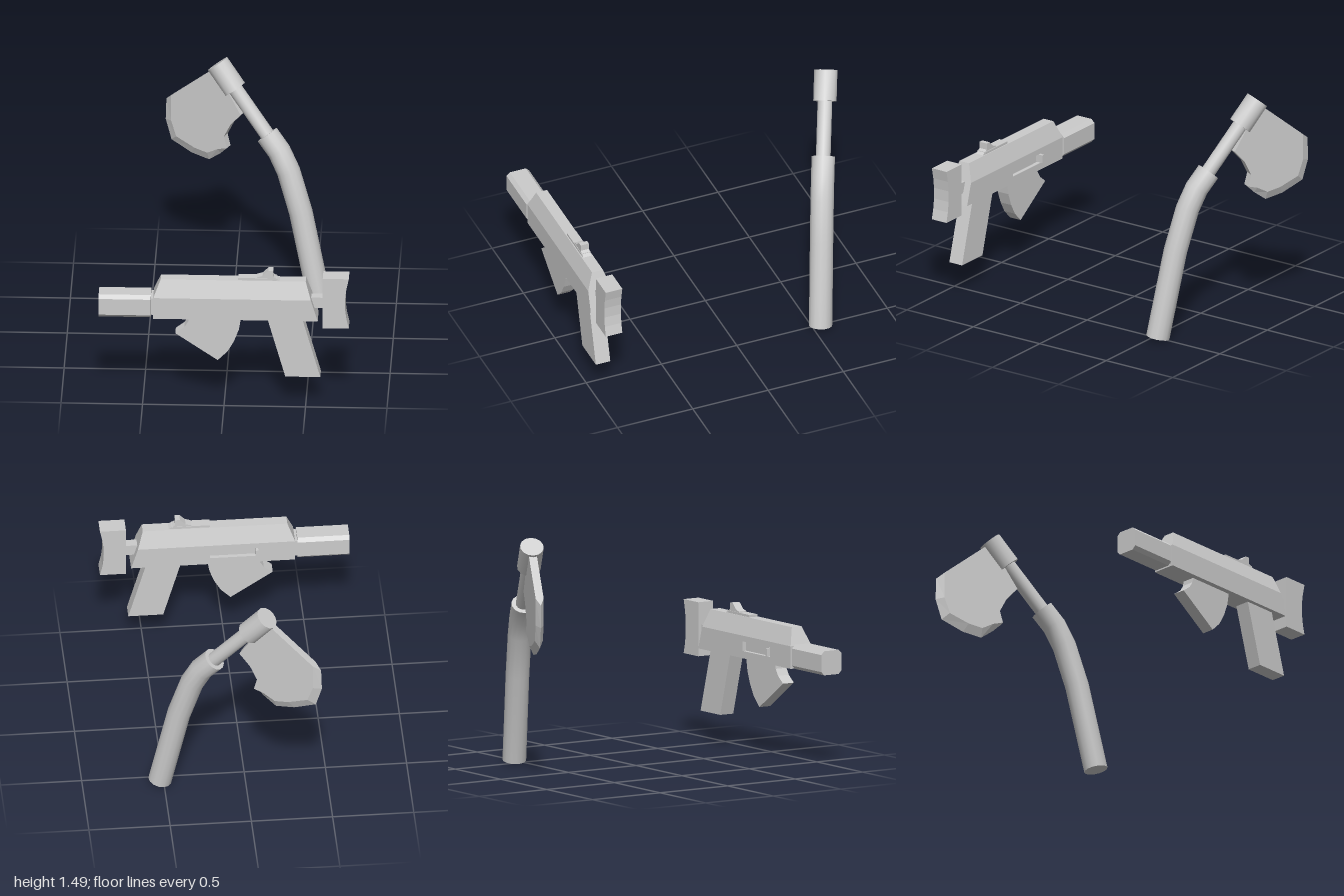
import * as THREE from 'three';
import { toCreasedNormals } from 'three/addons/utils/BufferGeometryUtils.js';

const flat = new THREE.MeshStandardMaterial({ color: 0xcccccc, flatShading: true });
const smooth = new THREE.MeshStandardMaterial({ color: 0xcccccc });
const inside = new THREE.MeshStandardMaterial({ color: 0xcccccc, flatShading: true, side: THREE.BackSide });

function add(parent, name, geometry, material = flat) {
  const mesh = new THREE.Mesh(geometry, material);
  mesh.name = name;
  parent.add(mesh);
  return mesh;
}

function box(parent, name, x0, x1, y0, y1, z0, z1, material) {
  const g = new THREE.BoxGeometry(x1 - x0, y1 - y0, z1 - z0);
  g.translate((x0 + x1) / 2, (y0 + y1) / 2, (z0 + z1) / 2);
  return add(parent, name, g, material);
}

const shapeOf = (pts) => new THREE.Shape(pts.map(([x, y]) => new THREE.Vector2(x, y)));

// Side profile extruded evenly about z = 0
function plate(parent, name, pts, halfWidth) {
  const g = new THREE.ExtrudeGeometry(shapeOf(pts), { depth: halfWidth * 2, bevelEnabled: false });
  g.translate(0, 0, -halfWidth);
  return add(parent, name, g);
}

// Joins rings (counter-clockwise seen from the last one) and caps both ends
function loft(rings, caps, skip = () => false) {
  const out = [];
  const tri = (a, b, c) => out.push(...a, ...b, ...c);
  for (let k = 0; k < rings.length - 1; k++) {
    const a = rings[k], b = rings[k + 1];
    for (let i = 0; i < a.length; i++) {
      if (skip(k, i)) continue;
      const j = (i + 1) % a.length;
      tri(a[i], a[j], b[j]);
      tri(a[i], b[j], b[i]);
    }
  }
  const first = rings[0], last = rings[rings.length - 1];
  for (const [i, j, k] of caps) {
    tri(first[i], first[k], first[j]);
    tri(last[i], last[j], last[k]);
  }
  const g = new THREE.BufferGeometry();
  g.setAttribute('position', new THREE.Float32BufferAttribute(out, 3));
  g.computeVertexNormals();
  return g;
}

const fan = (n) => Array.from({ length: n - 2 }, (_, i) => [0, i + 1, i + 2]);

// Round bar following a path in the xy plane, with mitred bends
function bar(parent, name, path, radius, sides = 14) {
  const p = path.map(([x, y]) => new THREE.Vector2(x, y));
  const rings = p.map((c, k) => {
    const t = new THREE.Vector2();
    if (k > 0) t.add(c.clone().sub(p[k - 1]).normalize());
    if (k < p.length - 1) t.add(p[k + 1].clone().sub(c).normalize());
    t.normalize();
    return Array.from({ length: sides }, (_, i) => {
      const a = (i / sides) * Math.PI * 2;
      const n = radius * Math.cos(a);
      return [c.x - t.y * n, c.y + t.x * n, radius * Math.sin(a)];
    });
  });
  return add(parent, name, toCreasedNormals(loft(rings, fan(sides)), 0.6), smooth);
}

function createGun() {
  const gun = new THREE.Group();
  gun.name = 'gun';

  // Receiver: upright sides, sloped shoulders, slanted ends
  const level = (x0, x1, y, w) => [[x0, y, w], [x1, y, w], [x1, y, -w], [x0, y, -w]];
  const rings = [
    level(-0.435, 0.575, 0.59, 0.075),
    level(-0.435, 0.533, 0.73, 0.075),
    level(-0.39, 0.5, 0.84, 0.036),
  ];
  add(gun, 'receiver', loft(rings, fan(4), (k, i) => k === 0 && i === 2));

  // Far side of the receiver with the bolt slot cut out
  const side = shapeOf([[0.435, 0.59], [0.435, 0.73], [-0.533, 0.73], [-0.575, 0.59]]);
  side.holes.push(shapeOf([[-0.09, 0.635], [0.21, 0.635], [0.21, 0.695], [-0.09, 0.695]]));
  const sideGeo = new THREE.ShapeGeometry(side);
  sideGeo.rotateY(Math.PI);
  sideGeo.translate(0, 0, -0.075);
  add(gun, 'slottedSide', sideGeo);
  box(gun, 'boltSlot', -0.21, 0.09, 0.635, 0.695, -0.075, -0.05, inside);
  box(gun, 'boltHandle', -0.207, -0.19, 0.64, 0.69, -0.097, -0.05);

  // Barrel block with chamfered long edges, and its neck
  const c = 0.022, w = 0.075;
  const outline = [[-w, -w + c], [-w + c, -w], [w - c, -w], [w, -w + c], [w, w - c], [w - c, w], [-w + c, w], [-w, w - c]];
  const barrel = new THREE.ExtrudeGeometry(shapeOf(outline), { depth: 0.32, bevelEnabled: false });
  barrel.rotateY(Math.PI / 2);
  barrel.translate(-0.77, 0.665, 0);
  add(gun, 'barrel', barrel);
  box(gun, 'barrelNeck', -0.455, -0.43, 0.61, 0.72, -0.06, 0.06);

  // Stock with a hollowed shoulder end
  box(gun, 'stockLink', 0.5, 0.61, 0.66, 0.73, -0.03, 0.03);
  plate(gun, 'stock', [[0.605, 0.535], [0.765, 0.535], [0.75, 0.6], [0.742, 0.665], [0.742, 0.735],
    [0.75, 0.8], [0.765, 0.87], [0.605, 0.87]], 0.055);

  // Grip and curved magazine
  plate(gun, 'grip', [[0.265, 0.59], [0.375, 0.2], [0.59, 0.2], [0.48, 0.59]], 0.048);
  plate(gun, 'magazine', [[-0.215, 0.6], [-0.22, 0.56], [-0.245, 0.52], [-0.3, 0.478], [-0.04, 0.3],
    [0.02, 0.36], [0.06, 0.43], [0.09, 0.51], [0.1, 0.57], [0.1, 0.6]], 0.04);

  // Sight on its rail
  box(gun, 'sightRail', 0.085, 0.32, 0.835, 0.855, -0.03, 0.03);
  plate(gun, 'sight', [[0.2, 0.84], [0.34, 0.84], [0.3, 0.865], [0.3, 0.905], [0.27, 0.905],
    [0.235, 0.87], [0.2, 0.86]], 0.027);

  gun.position.z = 0.925;
  return gun;
}

function createAxe() {
  const axe = new THREE.Group();
  axe.name = 'axe';

  // Bent handle sleeve, thin shaft and head socket
  bar(axe, 'handle', [[0.577, 0.025], [0.453, 0.57], [0.368, 0.83], [0.304, 0.95], [0.221, 1.045]], 0.073);
  bar(axe, 'shaft', [[0.23, 1.035], [-0.01, 1.32]], 0.046);
  bar(axe, 'headSocket', [[0, 1.305], [-0.122, 1.452]], 0.073);

  // Blade: flat faces tapering to a cutting edge along the outer curve
  const shoulder = [[-0.13, 1.425]];
  const notch = [[-0.045, 0.905], [-0.065, 0.98], [-0.02, 1.07], [0.05, 1.15], [-0.045, 1.3]];
  const edge = [...shoulder, [-0.475, 1.14], [-0.48, 1], [-0.44, 0.87], [-0.3, 0.81], [-0.18, 0.79], [-0.1, 0.85], ...notch];
  const face = [...shoulder, [-0.43, 1.177], [-0.43, 1.01], [-0.395, 0.91], [-0.27, 0.86], [-0.18, 0.845], [-0.11, 0.885], ...notch];
  const at = (pts, z) => pts.map(([x, y]) => [x, y, z]);
  const caps = THREE.ShapeUtils.triangulateShape(face.map(([x, y]) => new THREE.Vector2(x, y)), []);
  add(axe, 'blade', loft([at(face, -0.025), at(edge, 0), at(face, 0.025)], caps));

  axe.rotation.y = -0.44;
  axe.position.z = -0.794;
  return axe;
}

export function createModel() {
  const model = new THREE.Group();
  model.name = 'weapons';
  model.add(createGun(), createAxe());
  return model;
}
